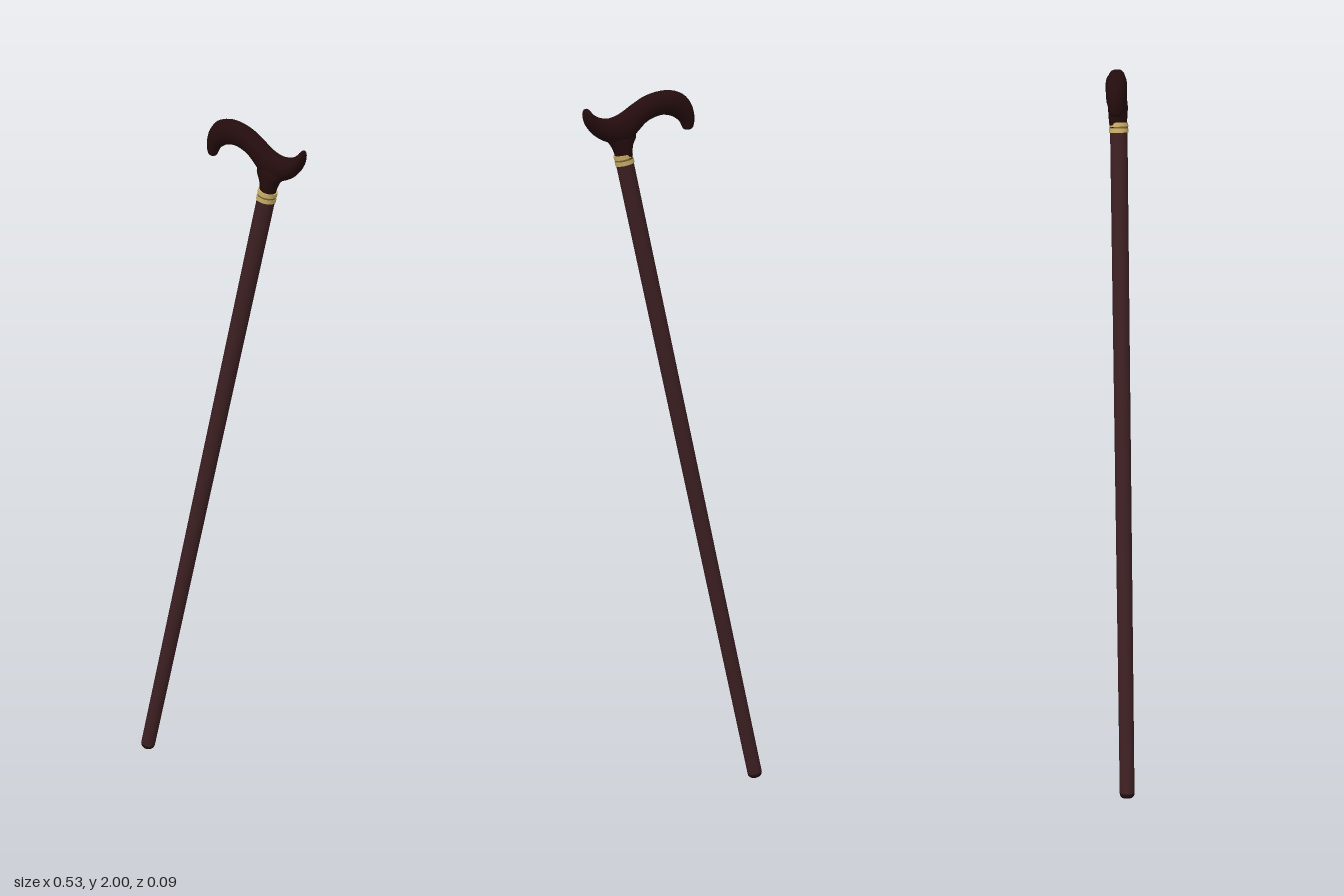
import * as THREE from 'three';

const mat = (name, color) => {
  const m = new THREE.MeshStandardMaterial({ color });
  m.name = name;
  return m;
};

// Lofts oval rings between two edge curves; each row is [ax, ay, bx, by, halfDepth].
function loft(rows, steps, sides, zAt) {
  const a = new THREE.CatmullRomCurve3(rows.map(r => new THREE.Vector3(r[0], r[1], r[4])));
  const b = new THREE.CatmullRomCurve3(rows.map(r => new THREE.Vector3(r[2], r[3], 0)));
  const pos = [], idx = [];
  for (let i = 0; i <= steps; i++) {
    const p = a.getPoint(i / steps), q = b.getPoint(i / steps);
    const closed = i === 0 || i === steps;
    for (let j = 0; j < sides; j++) {
      const t = (j / sides) * Math.PI * 2;
      const c = closed ? 0 : Math.cos(t) / 2, s = closed ? 0 : Math.sin(t);
      const x = (p.x + q.x) / 2 + (p.x - q.x) * c;
      const y = (p.y + q.y) / 2 + (p.y - q.y) * c;
      pos.push(x, y, zAt(x) + p.z * s);
      if (i < steps) {
        const k = i * sides + j, k1 = i * sides + (j + 1) % sides;
        idx.push(k, k1, k1 + sides, k, k1 + sides, k + sides);
      }
    }
  }
  const g = new THREE.BufferGeometry();
  g.setAttribute('position', new THREE.Float32BufferAttribute(pos, 3));
  g.setIndex(idx);
  g.computeVertexNormals();
  return g;
}

export function createModel() {
  const shaftWood = mat('shaft wood', 0x3d2022);
  const handleWood = mat('handle wood', 0x240c0d);
  const gold = mat('gold', 0xcbb06a);
  const darkGold = mat('dark gold', 0x7a6232);
  const rubber = mat('dark tip', 0x1c0c0d);

  const cane = new THREE.Group();
  cane.name = 'walkingCane';
  const add = (parent, name, geometry, material, y = 0) => {
    const m = new THREE.Mesh(geometry, material);
    m.name = name;
    m.position.y = y;
    parent.add(m);
    return m;
  };

  // Leaning stick: everything inside runs along local y
  const stick = new THREE.Group();
  stick.name = 'stick';
  stick.position.set(-0.246, 0.004, -0.023);
  const dir = new THREE.Vector3(0.402, 1.823, 0.035).normalize();
  stick.quaternion.setFromUnitVectors(new THREE.Vector3(0, 1, 0), dir);
  cane.add(stick);

  add(stick, 'shaft', new THREE.CylinderGeometry(0.0235, 0.021, 1.842, 16), shaftWood, 0.933);
  add(stick, 'tip', new THREE.LatheGeometry([
    [0, 0], [0.017, 0], [0.0205, 0.005], [0.0212, 0.013], [0, 0.013],
  ].map(p => new THREE.Vector2(...p)), 16), rubber);

  // Collar: two bright rims around a darker engraved band
  add(stick, 'collarBand', new THREE.CylinderGeometry(0.0245, 0.0245, 0.026, 20), darkGold, 1.863);
  for (const y of [1.855, 1.871])
    add(stick, 'collarRim', new THREE.CylinderGeometry(0.0258, 0.0258, 0.011, 20), gold, y);

  // Handle: S-curved grip, turned slightly about the vertical
  const zAt = x => -0.017 + 0.148 * x;
  add(cane, 'grip', loft([
    [-0.028, 1.896, -0.014, 1.892, 0.010],
    [-0.032, 1.904, -0.008, 1.895, 0.016],
    [-0.034, 1.929, 0.003, 1.915, 0.022],
    [-0.026, 1.960, 0.024, 1.929, 0.026],
    [-0.003, 1.987, 0.045, 1.934, 0.028],
    [0.040, 1.998, 0.066, 1.932, 0.028],
    [0.093, 1.987, 0.098, 1.918, 0.028],
    [0.135, 1.963, 0.124, 1.892, 0.028],
    [0.167, 1.942, 0.151, 1.865, 0.028],
    [0.198, 1.931, 0.198, 1.868, 0.028],
    [0.225, 1.934, 0.235, 1.886, 0.027],
    [0.243, 1.944, 0.259, 1.915, 0.025],
    [0.252, 1.954, 0.265, 1.940, 0.020],
    [0.258, 1.959, 0.263, 1.954, 0.010],
  ], 52, 20, zAt), handleWood);

  // Neck: flares from the collar up into the grip
  add(cane, 'neck', loft([
    [0.134, 1.824, 0.178, 1.820, 0.022],
    [0.135, 1.839, 0.180, 1.836, 0.024],
    [0.133, 1.860, 0.190, 1.858, 0.026],
    [0.124, 1.885, 0.209, 1.883, 0.026],
    [0.138, 1.915, 0.195, 1.915, 0.020],
  ], 20, 20, x => zAt(x) + 0.004), handleWood);

  return cane;
}
